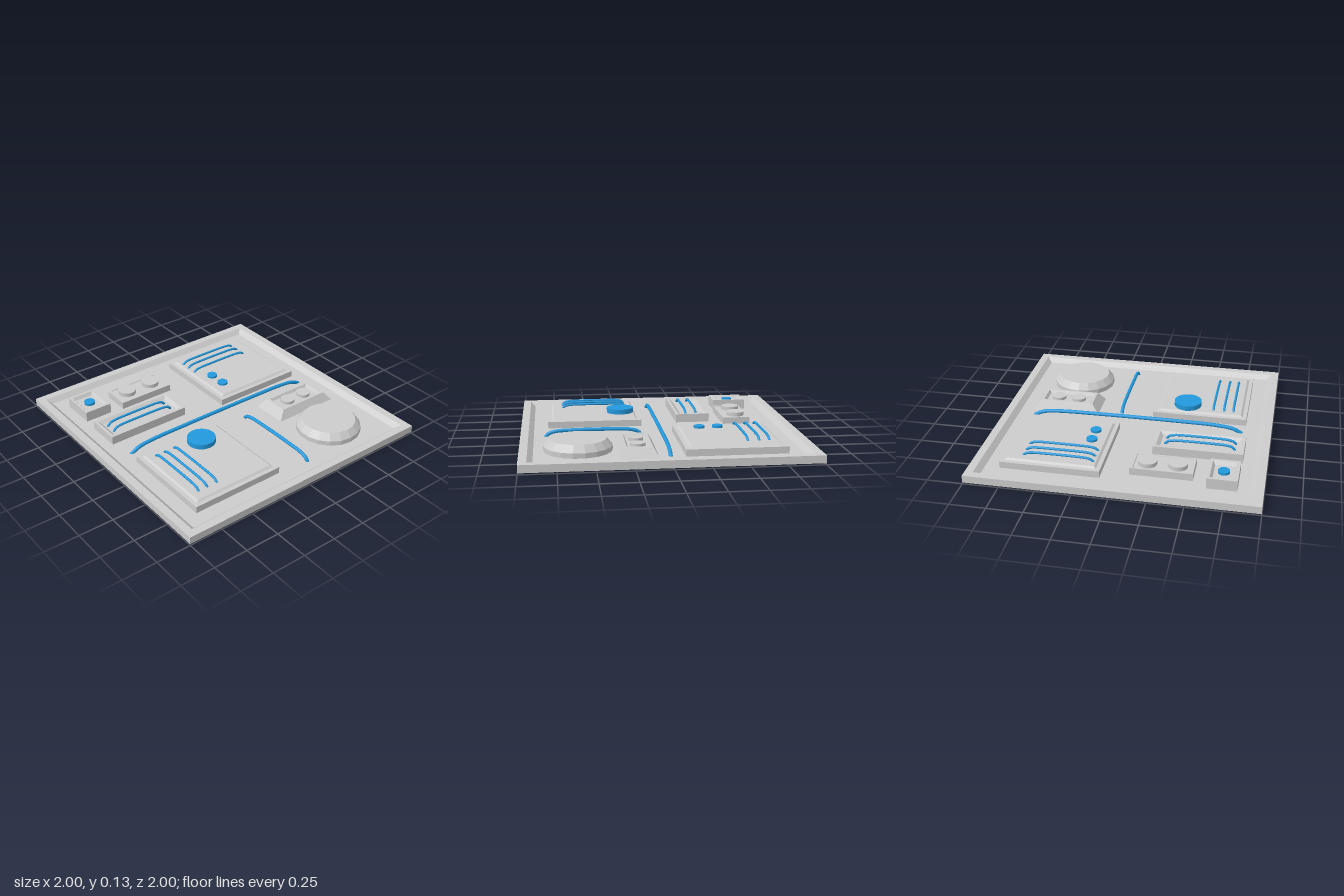
import * as THREE from 'three';

const grey = new THREE.MeshStandardMaterial({ color: 0xcccccc });
const greyFlat = new THREE.MeshStandardMaterial({ color: 0xcccccc, flatShading: true });
const blue = new THREE.MeshStandardMaterial({ color: 0x2299dd });
const FLOOR = 0.03;

function add(parent, name, geometry, material, x = 0, y = 0, z = 0) {
  const mesh = new THREE.Mesh(geometry, material);
  mesh.name = name;
  mesh.position.set(x, y, z);
  parent.add(mesh);
  return mesh;
}

// Closed solid through rectangular rings [halfWidth, halfDepth, y], bottom to last cap
function ringSolid(rings) {
  const pos = [];
  const corners = rings.map(([w, d, y]) => [[-w, y, -d], [-w, y, d], [w, y, d], [w, y, -d]]);
  const quad = (a, b, c, d) => pos.push(...a, ...b, ...c, ...a, ...c, ...d);
  for (let r = 0; r < corners.length - 1; r++) {
    for (let i = 0; i < 4; i++) {
      const j = (i + 1) % 4;
      quad(corners[r][i], corners[r][j], corners[r + 1][j], corners[r + 1][i]);
    }
  }
  quad(...corners[corners.length - 1]);
  quad(...corners[0].slice().reverse());
  const g = new THREE.BufferGeometry();
  g.setAttribute('position', new THREE.Float32BufferAttribute(pos, 3));
  g.computeVertexNormals();
  return g;
}

// Round button or stud between two heights
function disc(parent, name, x, z, r, y0, y1, material) {
  add(parent, name, new THREE.CylinderGeometry(r, r, y1 - y0, 32), material, x, (y0 + y1) / 2, z);
}

// Arched cable with rounded ends, along x or turned along z
function cable(parent, name, x, z, length, r, yEnd, yTop, alongZ) {
  const shape = [[-0.5, 0], [-0.46, 0.6], [-0.38, 0.9], [-0.2, 1], [0.2, 1], [0.38, 0.9], [0.46, 0.6], [0.5, 0]];
  const span = length - 2 * r;
  const points = shape.map(([t, h]) => new THREE.Vector3(t * span, yEnd + (yTop - yEnd) * h, 0));
  const group = new THREE.Group();
  group.name = name;
  group.position.set(x, 0, z);
  if (alongZ) group.rotation.y = Math.PI / 2;
  add(group, 'cableTube', new THREE.TubeGeometry(new THREE.CatmullRomCurve3(points), 40, r, 10), blue);
  for (const s of [-1, 1]) {
    add(group, 'cableEnd', new THREE.SphereGeometry(r, 10, 8), blue, s * span / 2, yEnd, 0);
  }
  parent.add(group);
}

export function createModel() {
  const model = new THREE.Group();
  model.name = 'machineryPanel';

  // Base plate: raised rim with a sloped inner edge
  add(model, 'basePlate', ringSolid([
    [1, 1, 0.01], [1, 1, 0.063], [0.943, 0.943, 0.063], [0.907, 0.907, FLOOR],
  ]), greyFlat);

  // Two large square panels, each with a bevelled raised top
  for (const [x, z] of [[-0.457, 0.453], [0.453, -0.453]]) {
    add(model, 'largePanel', ringSolid([
      [0.35, 0.35, FLOOR], [0.35, 0.35, 0.078], [0.32, 0.32, 0.078], [0.305, 0.305, 0.09],
    ]), greyFlat, x, 0, z);
  }
  for (const x of [-0.703, -0.633, -0.553]) cable(model, 'panelCable', x, 0.44, 0.51, 0.009, 0.088, 0.114, true);
  for (const z of [-0.697, -0.627, -0.547]) cable(model, 'panelCable', 0.413, z, 0.51, 0.009, 0.088, 0.114, false);
  disc(model, 'largeButton', -0.353, 0.247, 0.102, 0.085, 0.126, blue);
  for (const z of [-0.413, -0.28]) disc(model, 'smallButton', 0.243, z, 0.039, 0.085, 0.106, blue);

  // Small recessed box with one button
  add(model, 'buttonBox', ringSolid([
    [0.104, 0.13, FLOOR], [0.104, 0.13, 0.107], [0.085, 0.108, 0.107], [0.068, 0.09, 0.085],
  ]), greyFlat, -0.721, 0, -0.667);
  disc(model, 'smallButton', -0.721, -0.667, 0.04, 0.08, 0.104, blue);

  // Long recessed box with two cables
  add(model, 'cableBox', ringSolid([
    [0.318, 0.128, FLOOR], [0.318, 0.128, 0.093], [0.297, 0.106, 0.093], [0.272, 0.08, 0.072],
  ]), greyFlat, -0.512, 0, -0.3);
  for (const z of [-0.337, -0.257]) cable(model, 'boxCable', -0.518, z, 0.51, 0.009, 0.074, 0.106, false);

  // Box with two studs
  add(model, 'studBox', ringSolid([
    [0.217, 0.102, FLOOR], [0.217, 0.102, 0.082], [0.196, 0.096, 0.082], [0.194, 0.094, 0.077],
  ]), greyFlat, -0.304, 0, -0.622);
  for (const x of [-0.408, -0.198]) disc(model, 'stud', x, -0.633, 0.066, 0.07, 0.107, grey);

  // Tapered box with a recess and two studs
  add(model, 'taperedBox', ringSolid([
    [0.254, 0.132, FLOOR], [0.2, 0.095, 0.095], [0.182, 0.08, 0.095], [0.167, 0.067, 0.075],
  ]), greyFlat, 0.564, 0, 0.207);
  for (const x of [0.49, 0.645]) disc(model, 'stud', x, 0.205, 0.052, 0.07, 0.098, grey);

  // Faceted round hatch with a sloped shoulder
  const hatch = new THREE.Group();
  hatch.name = 'roundHatch';
  hatch.position.set(0.538, 0, 0.602);
  add(hatch, 'hatchWall', new THREE.CylinderGeometry(0.236, 0.236, 0.035, 18), greyFlat, 0, FLOOR + 0.0175, 0);
  add(hatch, 'hatchTop', new THREE.CylinderGeometry(0.196, 0.236, 0.048, 18), greyFlat, 0, 0.089, 0);
  model.add(hatch);

  // Long cables lying across the plate
  cable(model, 'mainCable', 0, -0.003, 1.59, 0.014, 0.025, 0.077, false);
  cable(model, 'branchCable', 0.137, 0.477, 0.735, 0.013, 0.013, 0.072, true);

  return model;
}
